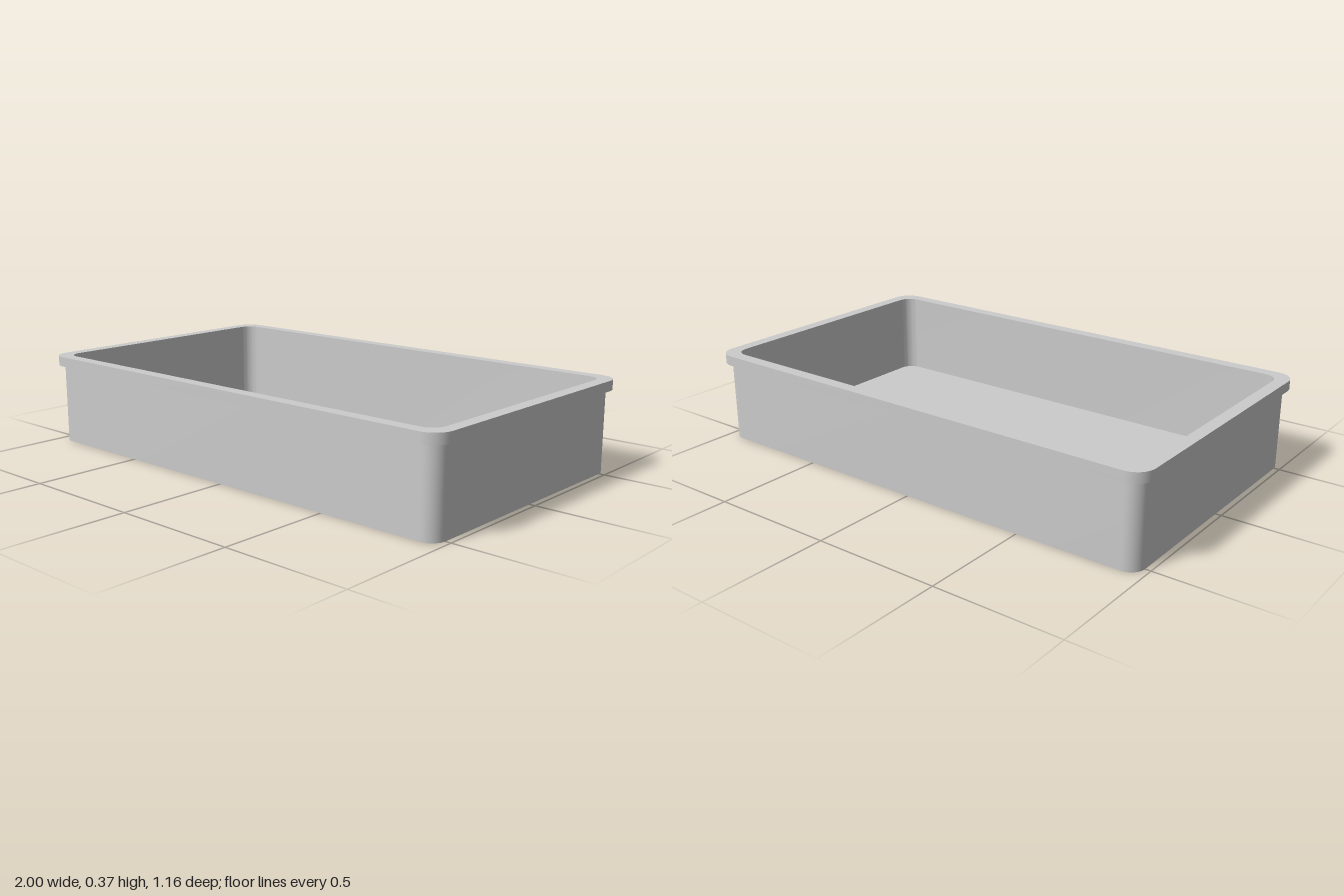
import * as THREE from 'three';
import { toCreasedNormals } from 'three/addons/utils/BufferGeometryUtils.js';

const CORNER_STEPS = 10;

// Rounded rectangle loop at height y: half sizes hx, hz and corner radius r
function loop([hx, hz, r, y]) {
  const points = [];
  for (let c = 0; c < 4; c++) {
    const sx = c === 0 || c === 3 ? 1 : -1;
    const sz = c < 2 ? 1 : -1;
    for (let i = 0; i <= CORNER_STEPS; i++) {
      const a = (c + i / CORNER_STEPS) * Math.PI / 2;
      points.push(new THREE.Vector3(
        sx * (hx - r) + r * Math.cos(a), y, sz * (hz - r) + r * Math.sin(a)));
    }
  }
  return points;
}

// Skin successive loops; a loop of zero size closes the surface as a flat cap
function skin(name, sections, material) {
  const loops = sections.map(loop);
  const positions = [];
  const triangle = (a, b, c) => {
    if (a.distanceTo(b) < 1e-6 || b.distanceTo(c) < 1e-6 || c.distanceTo(a) < 1e-6) return;
    for (const p of [a, b, c]) positions.push(p.x, p.y, p.z);
  };
  for (let s = 0; s < loops.length - 1; s++) {
    const low = loops[s], high = loops[s + 1];
    for (let i = 0; i < low.length; i++) {
      const j = (i + 1) % low.length;
      triangle(low[i], high[i], low[j]);
      triangle(low[j], high[i], high[j]);
    }
  }
  const geometry = new THREE.BufferGeometry();
  geometry.setAttribute('position', new THREE.Float32BufferAttribute(positions, 3));
  const mesh = new THREE.Mesh(toCreasedNormals(geometry, 0.6), material);
  mesh.name = name;
  return mesh;
}

export function createModel() {
  const group = new THREE.Group();
  group.name = 'tray';
  const material = new THREE.MeshStandardMaterial({ color: 0xcccccc });

  const top = 0.365, lip = 0.325, floor = 0.025;
  const outer = [0.978, 0.558, 0.06];
  const rim = [1, 0.58, 0.075];
  const inner = [0.95, 0.53, 0.055];
  const centre = [0, 0, 0];

  // Underside and outer walls
  group.add(skin('outerShell', [[...centre, 0], [...outer, 0], [...outer, lip]], material));
  // Overhanging band around the top edge
  group.add(skin('rim', [[...outer, lip], [...rim, lip], [...rim, top], [...inner, top]], material));
  // Inner walls and floor
  group.add(skin('interior', [[...inner, top], [...inner, floor], [...centre, floor]], material));

  return group;
}
